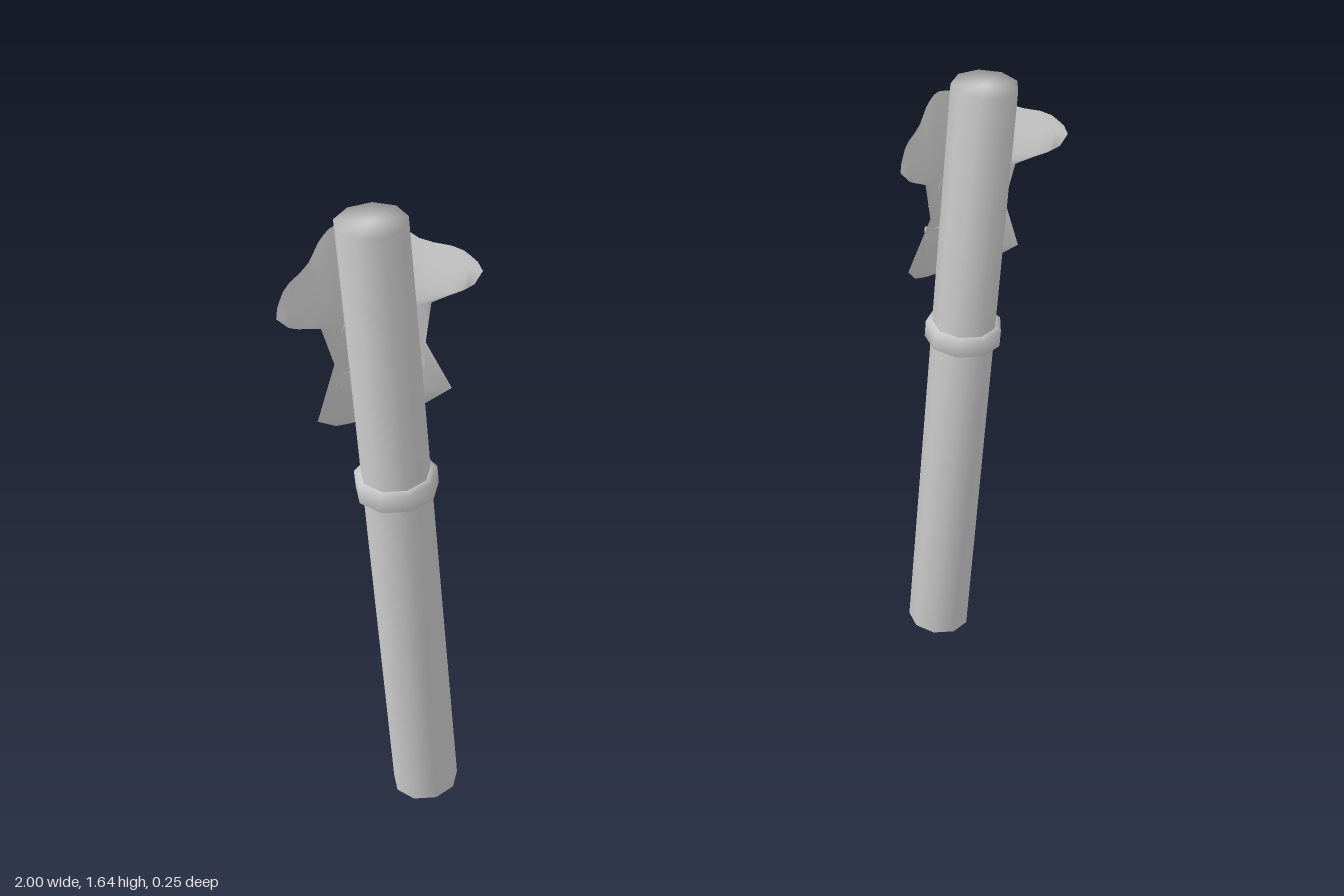
import * as THREE from 'three';
import { mergeVertices } from 'three/addons/utils/BufferGeometryUtils.js';

const material = new THREE.MeshStandardMaterial({ color: 0xcccccc });
const thin = new THREE.MeshStandardMaterial({ color: 0xcccccc, side: THREE.DoubleSide });

function part(name, geometry, mat = material) {
  const mesh = new THREE.Mesh(geometry, mat);
  mesh.name = name;
  return mesh;
}

// Weld every edge so that the shading rolls over it
function smooth(geometry) {
  geometry.deleteAttribute('normal');
  geometry.deleteAttribute('uv');
  const welded = mergeVertices(geometry, 1e-4);
  welded.computeVertexNormals();
  return welded;
}

// Cross-sections of half the mask, from the ridge outwards: [x, y, z]
const maskRows = [
  [[0, 1.56, -0.126], [0.05, 1.575, -0.105], [0.09, 1.56, -0.08], [0.13, 1.53, -0.045], [0.2, 1.52, 0.015], [0.228, 1.495, 0.045]],
  [[0, 1.5, -0.098], [0.05, 1.51, -0.078], [0.09, 1.5, -0.052], [0.13, 1.48, -0.02], [0.2, 1.48, 0.035], [0.235, 1.475, 0.055]],
  [[0, 1.435, -0.076], [0.05, 1.435, -0.05], [0.08, 1.43, -0.03], [0.12, 1.425, 0], [0.18, 1.43, 0.045], [0.212, 1.45, 0.06]],
  [[0, 1.375, -0.074], [0.04, 1.375, -0.05], [0.08, 1.38, -0.025], [0.128, 1.39, 0]],
  [[0, 1.29, -0.074], [0.055, 1.29, -0.036], [0.107, 1.29, 0]],
  [[0, 1.15, -0.076], [0.08, 1.15, -0.037], [0.16, 1.15, 0]],
  [[0, 1.075, -0.078], [0.06, 1.077, -0.065], [0.107, 1.09, -0.05]],
];

function maskHalf(side) {
  const steps = 12, positions = [], index = [];
  maskRows.forEach((row, r) => {
    const curve = new THREE.CatmullRomCurve3(row.map(([x, y, z]) => new THREE.Vector3(x * side, y, z)));
    for (let i = 0; i <= steps; i++) {
      positions.push(...curve.getPoint(i / steps).toArray());
      if (r && i) {
        const b = r * (steps + 1) + i, a = b - steps - 1;
        index.push(a - 1, a, b, a - 1, b, b - 1);
      }
    }
  });
  const geometry = new THREE.BufferGeometry();
  geometry.setAttribute('position', new THREE.Float32BufferAttribute(positions, 3));
  geometry.setIndex(index);
  geometry.computeVertexNormals();
  return geometry;
}

// Arched block with a flat bottom
function eyeGeometry() {
  const shape = new THREE.Shape();
  shape.moveTo(-0.042, 0);
  shape.lineTo(0.042, 0);
  shape.lineTo(0.042, 0.03);
  shape.absarc(0, 0.03, 0.042, 0, Math.PI, false);
  return new THREE.ExtrudeGeometry(shape, { depth: 0.02, bevelEnabled: false, curveSegments: 8 });
}

// Smiling band bent around the ridge of the mask
function mouthGeometry() {
  const geometry = new THREE.BoxGeometry(2, 1, 1, 12, 1, 1);
  const p = geometry.attributes.position;
  for (let i = 0; i < p.count; i++) {
    const t = p.getX(i), x = t * 0.105;
    const y = p.getY(i) > 0 ? 1.225 + 0.03 * t * t : 1.165 + 0.06 * t * t;
    p.setXYZ(i, x, y, -0.076 + 0.54 * Math.abs(x) + p.getZ(i) * 0.014);
  }
  geometry.computeVertexNormals();
  return geometry;
}

function createPost() {
  const post = new THREE.Group();
  post.name = 'maskedPost';

  // Pole
  const pole = part('pole', smooth(new THREE.CylinderGeometry(0.082, 0.082, 1.645, 9)));
  pole.position.set(0, 0.8225, 0.028);
  post.add(pole);

  // Collar around the pole
  const profile = [[0.078, 0.925], [0.098, 0.93], [0.098, 0.975], [0.078, 0.98]].map(([r, y]) => new THREE.Vector2(r, y));
  const collar = part('collar', smooth(new THREE.LatheGeometry(profile, 9)));
  collar.position.z = 0.028;
  post.add(collar);

  // Mask on the back of the pole
  const mask = new THREE.Group();
  mask.name = 'mask';
  for (const side of [1, -1]) {
    mask.add(part(side > 0 ? 'maskLeft' : 'maskRight', maskHalf(side), thin));
    const eye = part(side > 0 ? 'eyeLeft' : 'eyeRight', eyeGeometry());
    eye.position.set(side * 0.046, 1.3, -0.046);
    eye.rotation.y = Math.PI - side * 0.61;
    mask.add(eye);
  }
  mask.add(part('mouth', mouthGeometry()));
  post.add(mask);
  return post;
}

export function createModel() {
  const model = new THREE.Group();
  model.name = 'postPair';
  for (const x of [-0.763, 0.763]) {
    const post = createPost();
    post.position.x = x;
    model.add(post);
  }
  return model;
}
